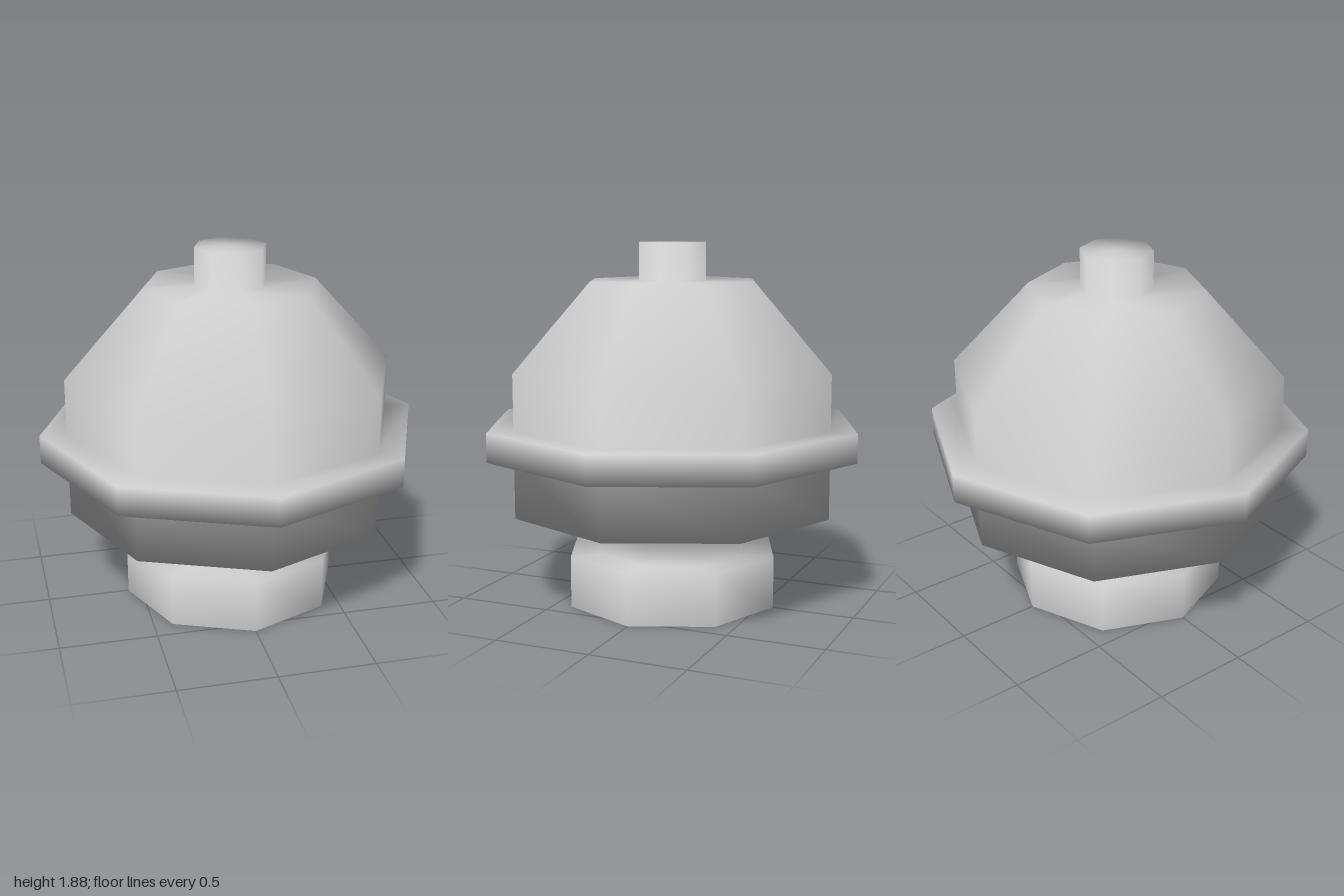
import * as THREE from 'three';

export function createModel() {
  const group = new THREE.Group();
  group.name = 'turnedHousing';

  // Outline as [radius, height], from the open foot up to the closed knob
  const profile = [
    [0.57, 0], [0.57, 0.27],       // hollow foot
    [0.4, 0.27], [0.4, 0.5],       // neck
    [0.86, 0.5], [0.86, 0.8],      // lower drum
    [1, 0.8], [1, 0.95],           // wide rim
    [0.86, 0.95], [0.86, 1.24],    // upper drum
    [0.45, 1.69],                  // sloping shoulder
    [0.185, 1.69], [0.185, 1.885], // knob
    [0, 1.885],
  ].map(([r, y]) => new THREE.Vector2(r, y));

  // One smooth eight-sided shell, open underneath
  const shell = new THREE.Mesh(
    new THREE.LatheGeometry(profile, 8),
    new THREE.MeshStandardMaterial({ color: 0xcccccc, side: THREE.DoubleSide })
  );
  shell.name = 'shell';
  group.add(shell);
  return group;
}
